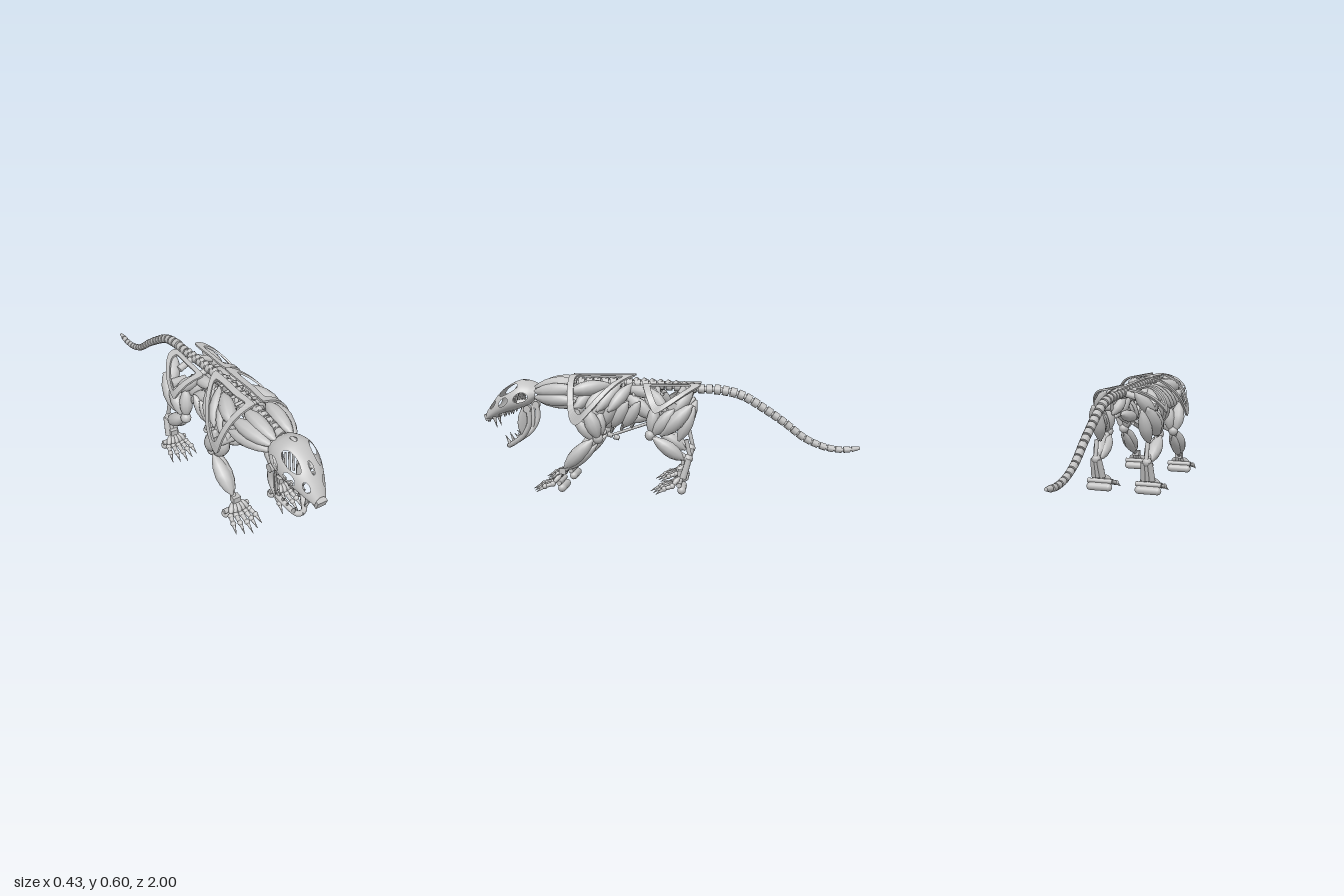
import * as THREE from 'three';

const V = (p) => new THREE.Vector3(p[0], p[1], p[2]);

export function createModel() {
  const model = new THREE.Group();
  const metal = new THREE.MeshStandardMaterial({ color: 0xc4c4c4, side: THREE.DoubleSide });
  metal.name = 'plain grey';

  const add = (name, geo) => {
    const m = new THREE.Mesh(geo, metal);
    m.name = name;
    model.add(m);
    return m;
  };
  // places a y-aligned geometry of length 1 between two points
  const span = (name, geo, a, b) => {
    const A = V(a), B = V(b), d = B.clone().sub(A), m = add(name, geo);
    geo.scale(1, d.length(), 1);
    m.position.copy(A).add(B).multiplyScalar(0.5);
    m.quaternion.setFromUnitVectors(new THREE.Vector3(0, 1, 0), d.normalize());
    return m;
  };
  const rod = (name, a, b, r1, r2 = r1, n = 10) =>
    span(name, new THREE.CylinderGeometry(r2, r1, 1, n), a, b);
  const ball = (name, p, r) => add(name, new THREE.SphereGeometry(r, 12, 8)).position.copy(V(p));
  const tube = (name, pts, r) => add(name, new THREE.TubeGeometry(
    new THREE.CatmullRomCurve3(pts.map(V)), 28, r, 8));
  // muscle: spindle with slim tendon ends
  const muscle = (name, a, b, r) => {
    const prof = [[0, -0.5], [0.2, -0.5], [0.26, -0.45], [0.5, -0.38], [0.83, -0.22], [1, 0],
      [0.9, 0.2], [0.55, 0.38], [0.26, 0.45], [0.2, 0.5], [0, 0.5]];
    return span(name, new THREE.LatheGeometry(prof.map(([x, y]) => new THREE.Vector2(x * r, y)), 10), a, b);
  };

  // curved plate with a large opening: corners are (z, angle) on an elliptic shell
  const frame = (name, s, corners, inset, shell) => {
    const n = 48, pos = [], idx = [];
    const curve = new THREE.CatmullRomCurve3(corners.map(([z, a]) => new THREE.Vector3(z, a, 0)), true, 'catmullrom', 0.35);
    const mid = new THREE.Vector3();
    corners.forEach(([z, a]) => mid.add(new THREE.Vector3(z, a, 0).divideScalar(corners.length)));
    for (let i = 0; i < n; i++) {
      const o = curve.getPoint(i / n), q = o.clone().lerp(mid, inset);
      for (const [p, t] of [[o, 0], [q, 0], [q, -0.01], [o, -0.01]]) {
        const a = Math.max(0, p.y);
        pos.push(s * (shell.x + (shell.rx + t) * Math.sin(a)), shell.y + (shell.ry + t) * Math.cos(a), p.x);
      }
      for (let k = 0; k < 4; k++) {
        const a = i * 4 + k, b = i * 4 + (k + 1) % 4, c = ((i + 1) % n) * 4 + k, d = ((i + 1) % n) * 4 + (k + 1) % 4;
        idx.push(a, c, b, b, c, d);
      }
    }
    const g = new THREE.BufferGeometry();
    g.setAttribute('position', new THREE.Float32BufferAttribute(pos, 3));
    g.setIndex(idx);
    const flat = g.toNonIndexed();
    flat.computeVertexNormals();
    add(name, flat);
  };

  // skull: lofted shell along z, cells inside the openings are left out
  const sections = [[0.70, 0.545, 0.46, 0.08], [0.74, 0.562, 0.42, 0.1], [0.79, 0.567, 0.4, 0.108], [0.85, 0.542, 0.385, 0.1],
    [0.90, 0.505, 0.37, 0.079], [0.95, 0.445, 0.355, 0.053], [0.985, 0.395, 0.345, 0.03]];
  const prof = [1, 2, 3].map((k) => new THREE.CatmullRomCurve3(sections.map((c) => new THREE.Vector3(c[0], c[k], 0))));
  // openings as (length, angle from the crown, half length, half angle)
  const openings = [[0.5, 0.74, 0.16, 0.28], [0.57, 1.42, 0.09, 0.25], [0.27, 1.5, 0.12, 0.3], [0.8, 0.95, 0.06, 0.26],
    [0.68, 0, 0.08, 0.13], [0.27, 0, 0.06, 0.13]];
  const nu = 80, nv = 120, pos = [], idx = [];
  const warp = (u, v) => {
    for (const [cu, cv, ru, rv] of openings) {
      const w = Math.sign(v) * cv, du = (u - cu) / ru, dv = (v - w) / rv, d = Math.hypot(du, dv);
      if (d > 0.8 && d < 1.15) return [cu + du / d * ru, w + dv / d * rv];
    }
    return [u, v];
  };
  const open = (u, v) => (Math.abs(v) > 2.35 && u < 0.7)
    || openings.some(([cu, cv, ru, rv]) => Math.hypot((u - cu) / ru, (Math.abs(v) - cv) / rv) < 0.97);
  for (let i = 0; i <= nu; i++) for (let j = 0; j <= nv; j++) {
    const u0 = i / nu, v0 = (j / nv * 2 - 1) * Math.PI, [u, v] = warp(u0, v0);
    const t = prof[0].getPoint(u), b = prof[1].getPoint(u), w = prof[2].getPoint(u).y;
    const c = b.y + (t.y - b.y) * 0.4, y = Math.cos(v);
    pos.push(Math.sin(v) * w, c + y * (y > 0 ? t.y - c : c - b.y), t.x);
    const um = u0 + 0.5 / nu, vm = v0 + Math.PI / nv;
    if (i < nu && j < nv && !open(um, vm)) {
      const a = i * (nv + 1) + j, d = a + nv + 1;
      idx.push(a, d, a + 1, a + 1, d, d + 1);
    }
  }
  const skull = new THREE.BufferGeometry();
  skull.setAttribute('position', new THREE.Float32BufferAttribute(pos, 3));
  skull.setIndex(idx);
  skull.computeVertexNormals();
  add('skull', skull);
  const nose = add('noseBlock', new THREE.BoxGeometry(0.052, 0.036, 0.03));
  nose.position.set(0, 0.364, 0.98);
  nose.rotation.x = 0.3;

  // spine and tail
  const spine = new THREE.CatmullRomCurve3([[0, 0.52, 0.73], [0, 0.55, 0.52], [0, 0.557, 0.3], [0, 0.543, 0.05], [0, 0.525, -0.17], [0, 0.522, -0.26],
    [0, 0.495, -0.38], [0, 0.425, -0.5], [0, 0.35, -0.61], [0, 0.27, -0.715], [0, 0.225, -0.82], [0, 0.212, -0.91], [0, 0.222, -1]].map(V));
  const count = 43;
  for (let i = 0; i < count; i++) {
    const a = spine.getPointAt(i / count), b = spine.getPointAt((i + 0.78) / count), c = spine.getPointAt((i + 1) / count);
    const r = a.z > -0.2 ? 0.024 : 0.027 - 0.012 * (-0.2 - a.z) / 0.8;
    const last = i === count - 1;
    rod(a.z > -0.2 ? 'vertebra' : 'tailVertebra', a.toArray(), (last ? c : b).toArray(), r, last ? r * 0.5 : r, 10);
    if (!last) rod('spinalDisc', b.toArray(), c.toArray(), r * 0.6);
    if (a.z > -0.15 && a.z < 0.68) rod('spinousProcess', [0, a.y + 0.01, a.z - 0.008], [0, a.y + 0.028, a.z - 0.018], 0.018, 0.011, 8);
  }

  // breastbone and belly line
  for (let i = 0; i < 6; i++) {
    const z = 0.47 - i * 0.035, y = 0.335 - i * 0.014;
    rod('breastboneSegment', [0, y, z], [0, y - 0.01, z - 0.027], 0.016, 0.013);
  }
  rod('bellyLine', [0, 0.275, 0.3], [0, 0.35, 0.08], 0.008);

  for (const s of [1, -1]) {
    const P = (x, y, z) => [s * x, y, z];

    // lower jaw half, teeth
    tube('lowerJaw', [P(0.085, 0.42, 0.735), P(0.08, 0.34, 0.735), P(0.068, 0.277, 0.77), P(0.045, 0.235, 0.825), P(0.02, 0.211, 0.866), P(0, 0.208, 0.872)], 0.014);
    muscle('jawRamus', P(0.085, 0.43, 0.765), P(0.07, 0.27, 0.77), 0.032).scale.x = 0.3;
    rod('jawHinge', P(0.07, 0.42, 0.74), P(0.1, 0.42, 0.74), 0.02);
    rod('lowerFang', P(0.034, 0.222, 0.855), P(0.041, 0.272, 0.88), 0.011, 0.001, 8);
    rod('upperFang', P(0.034, 0.37, 0.94), P(0.034, 0.31, 0.925), 0.011, 0.001, 8);
    for (let i = 0; i < 4; i++) {
      const t = i / 3;
      rod('lowerTooth', P(0.048 + 0.024 * t, 0.24 + 0.06 * t, 0.82 - 0.06 * t), P(0.05 + 0.024 * t, 0.267 + 0.055 * t, 0.84 - 0.05 * t), 0.009, 0.001, 6);
      rod('upperTooth', P(0.05 + 0.025 * t, 0.39 + 0.02 * t, 0.9 - 0.08 * t), P(0.05 + 0.025 * t, 0.36 + 0.03 * t, 0.9 - 0.08 * t), 0.009, 0.001, 6);
    }
    rod('frontTooth', P(0.012, 0.355, 0.982), P(0.012, 0.335, 0.978), 0.007, 0.002, 6);
    // slats behind the eye openings
    for (let i = 0; i < 4; i++) rod('eyeSlat', P(0.03 + 0.014 * i, 0.53, 0.81 - 0.008 * i), P(0.037 + 0.014 * i, 0.45, 0.835 - 0.01 * i), 0.005);

    // neck
    muscle('neckMuscle', P(0.045, 0.53, 0.71), P(0.06, 0.565, 0.48), 0.04);
    muscle('neckMuscle', P(0.065, 0.51, 0.71), P(0.12, 0.53, 0.47), 0.04);
    muscle('neckMuscle', P(0.065, 0.48, 0.71), P(0.14, 0.47, 0.47), 0.036);
    muscle('neckMuscle', P(0.03, 0.47, 0.71), P(0.06, 0.44, 0.47), 0.036);

    // shoulder and hip plates
    frame('shoulderBlade', s, [[0.51, 0], [0.4, 0.02], [0.18, 0.02], [0.25, 0.55], [0.36, 1.2], [0.45, 1.62], [0.49, 1.5], [0.51, 0.8]], 0.27, { x: 0.022, y: 0.37, rx: 0.185, ry: 0.23 });
    frame('hipPlate', s, [[0.12, 0.08], [-0.02, 0.04], [-0.16, 0.03], [-0.155, 0.4], [-0.06, 1.0], [0.05, 1.5], [0.085, 1.2], [0.12, 0.5]], 0.3, { x: 0.052, y: 0.41, rx: 0.148, ry: 0.148 });
    rod('pelvisBar', P(0, 0.53, -0.08), P(0.1, 0.5, -0.06), 0.018);
    rod('pelvisBar', P(0, 0.53, 0.06), P(0.1, 0.5, 0.05), 0.016);
    muscle('hipMuscle', P(0.08, 0.54, 0.11), P(0.15, 0.42, 0.0), 0.036);
    muscle('hipMuscle', P(0.08, 0.54, -0.13), P(0.16, 0.42, -0.04), 0.036);
    muscle('hipMuscle', P(0.06, 0.5, 0.12), P(0.1, 0.4, 0.03), 0.034);

    // ribs and trunk muscles
    for (let i = 0; i < 6; i++) {
      const z = 0.46 - i * 0.055, low = 0.3 + Math.abs(i - 2.5) * 0.014, w = 0.11 - Math.abs(i - 2) * 0.007;
      tube('rib', [P(0.01, 0.55, z), P(w * 0.7, 0.53, z - 0.005), P(w, 0.44, z - 0.01), P(w * 0.75, low + 0.03, z - 0.005), P(0.01, low - 0.015, z + 0.015)], 0.008);
    }
    for (let i = 0; i < 4; i++) {
      const z = 0.24 + i * 0.06;
      muscle('backMuscle', P(0.05, 0.555, z - 0.05), P(0.15, 0.42, z + 0.06), 0.034);
      muscle('sideMuscle', P(0.13, 0.47, z - 0.1), P(0.085, 0.33, z - 0.01), 0.034);
    }
    muscle('topShoulderMuscle', P(0.06, 0.55, 0.3), P(0.14, 0.52, 0.5), 0.042);
    muscle('flankMuscle', P(0.07, 0.5, 0.22), P(0.1, 0.38, 0.07), 0.04);
    muscle('flankMuscle', P(0.05, 0.53, 0.24), P(0.07, 0.5, 0.02), 0.034);
    muscle('bellyMuscle', P(0.04, 0.36, 0.26), P(0.06, 0.4, 0.06), 0.034);
    muscle('chestMuscle', P(0.03, 0.35, 0.44), P(0.13, 0.4, 0.45), 0.032);

    // paw: pad, ankle and five clawed toes
    const paw = (x, z) => {
      const pad = add('pawPad', new THREE.CapsuleGeometry(0.022, 0.1, 5, 12));
      pad.rotation.z = Math.PI / 2;
      pad.position.set(s * x, 0.024, z);
      rod('pawBridge', P(x - 0.07, 0.053, z + 0.012), P(x + 0.07, 0.053, z + 0.012), 0.013);
      const ankle = add('ankleBlock', new THREE.BoxGeometry(0.042, 0.03, 0.035));
      ankle.position.set(s * x, 0.103, z + 0.005);
      for (let i = -2; i <= 2; i++) {
        const reach = 1 - 0.1 * Math.abs(i), X = (k) => x + i * k;
        muscle('pawBone', P(X(0.011), 0.09, z + 0.008), P(X(0.027), 0.045, z + 0.06 * reach), 0.014);
        ball('knuckle', P(X(0.027), 0.045, z + 0.06 * reach), 0.015);
        rod('toe', P(X(0.027), 0.045, z + 0.06 * reach), P(X(0.032), 0.033, z + 0.11 * reach), 0.012, 0.01);
        ball('toeJoint', P(X(0.032), 0.033, z + 0.11 * reach), 0.014);
        rod('claw', P(X(0.032), 0.033, z + 0.11 * reach), P(X(0.037), 0.004, z + 0.165 * reach), 0.011, 0.001, 8);
      }
    };

    // front leg
    rod('shoulderJoint', P(0.1, 0.415, 0.46), P(0.195, 0.415, 0.46), 0.025);
    rod('upperArmBone', P(0.155, 0.41, 0.46), P(0.15, 0.28, 0.36), 0.015);
    muscle('upperArmMuscle', P(0.145, 0.4, 0.48), P(0.148, 0.27, 0.38), 0.035);
    muscle('upperArmMuscle', P(0.17, 0.44, 0.41), P(0.165, 0.28, 0.35), 0.04);
    muscle('upperArmMuscle', P(0.12, 0.43, 0.35), P(0.135, 0.28, 0.35), 0.034);
    ball('elbow', P(0.15, 0.28, 0.355), 0.028);
    rod('forearmBone', P(0.15, 0.28, 0.355), P(0.14, 0.1, 0.545), 0.014);
    muscle('forearmMuscle', P(0.162, 0.275, 0.38), P(0.148, 0.12, 0.535), 0.041);
    muscle('forearmMuscle', P(0.135, 0.275, 0.375), P(0.135, 0.12, 0.53), 0.034);
    muscle('forearmMuscle', P(0.148, 0.25, 0.36), P(0.14, 0.11, 0.52), 0.03);
    paw(0.136, 0.54);

    // hind leg
    rod('hipJoint', P(0.08, 0.45, -0.03), P(0.165, 0.45, -0.03), 0.025);
    rod('thighBone', P(0.14, 0.45, -0.03), P(0.145, 0.3, 0.08), 0.017);
    muscle('thighMuscle', P(0.15, 0.46, -0.13), P(0.155, 0.3, 0.03), 0.045);
    muscle('thighMuscle', P(0.12, 0.45, -0.14), P(0.135, 0.27, -0.06), 0.036);
    muscle('thighMuscle', P(0.13, 0.46, 0.06), P(0.14, 0.3, 0.08), 0.035);
    muscle('thighMuscle', P(0.16, 0.44, -0.04), P(0.15, 0.3, 0.07), 0.037);
    ball('knee', P(0.145, 0.3, 0.085), 0.028);
    rod('shinBone', P(0.145, 0.3, 0.085), P(0.14, 0.18, -0.11), 0.014);
    muscle('calfMuscle', P(0.16, 0.29, 0.07), P(0.145, 0.175, -0.09), 0.038);
    muscle('calfMuscle', P(0.125, 0.28, 0.07), P(0.135, 0.17, -0.08), 0.036);
    rod('calfTendon', P(0.14, 0.28, -0.1), P(0.14, 0.19, -0.12), 0.011);
    ball('heel', P(0.14, 0.18, -0.11), 0.025);
    for (const dx of [-0.022, 0, 0.022]) rod('heelBone', P(0.14 + dx * 0.7, 0.18, -0.115), P(0.138 + dx, 0.08, -0.085), 0.016, 0.018);
    paw(0.136, -0.08);
  }
  return model;
}
